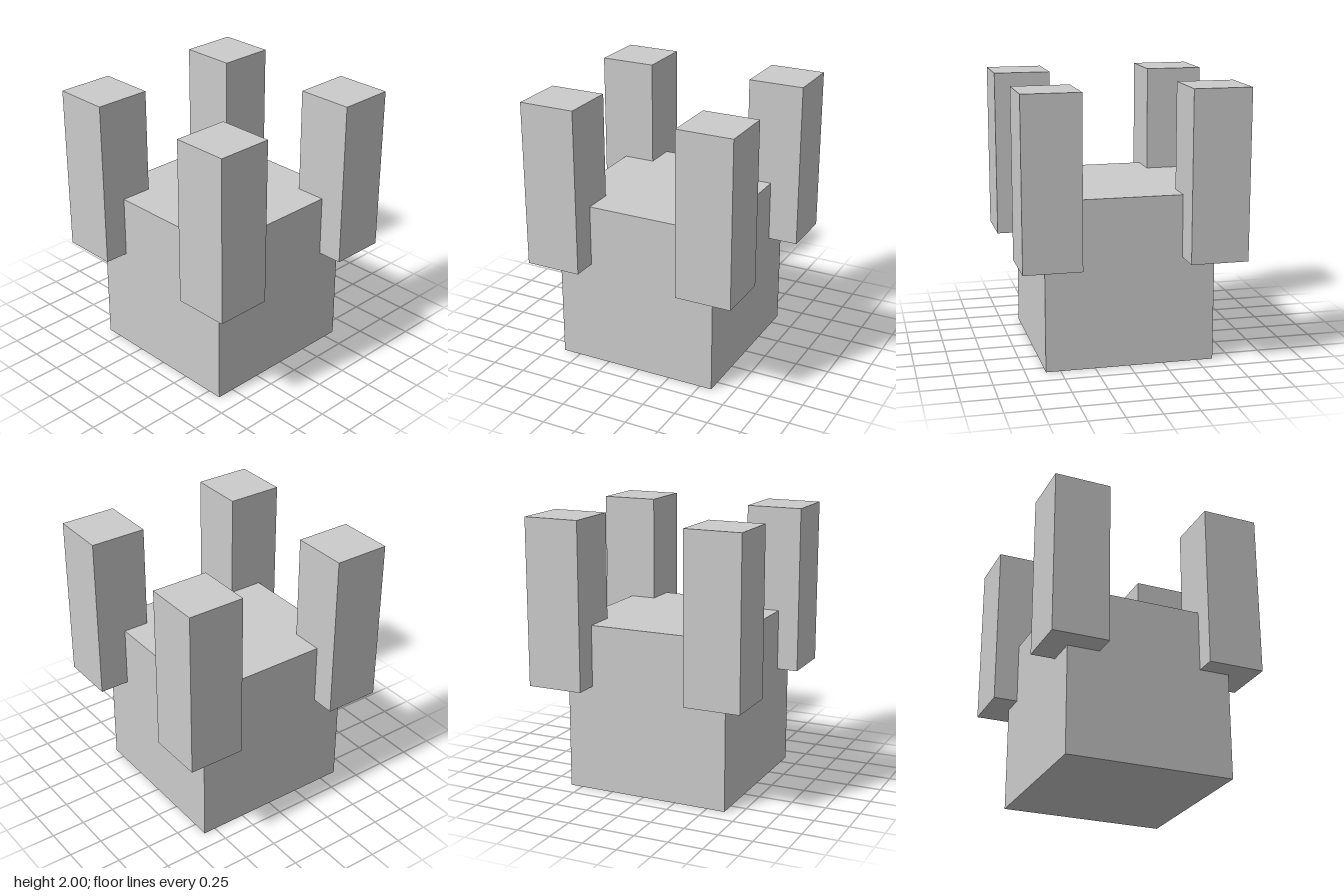
import * as THREE from 'three';

export function createModel() {
  const model = new THREE.Group();
  const material = new THREE.MeshStandardMaterial({ color: 0xcccccc, flatShading: true });

  // Upright block on a square plan, placed by its base centre
  function addBlock(name, width, height, x, y, z) {
    const mesh = new THREE.Mesh(new THREE.BoxGeometry(width, height, width), material);
    mesh.name = name;
    mesh.position.set(x, y + height / 2, z);
    model.add(mesh);
  }

  // Central cube
  addBlock('body', 1.225, 1.23, -0.007, 0, 0.021);

  // Corner posts overlapping the cube's upper corners; the front left one sits slightly further in
  const posts = [
    ['frontLeftPost', 0.587, 0.582],
    ['frontRightPost', -0.59, 0.605],
    ['backLeftPost', 0.587, -0.606],
    ['backRightPost', -0.59, -0.606],
  ];
  for (const [name, x, z] of posts) addBlock(name, 0.414, 1.22, x, 0.78, z);

  return model;
}
